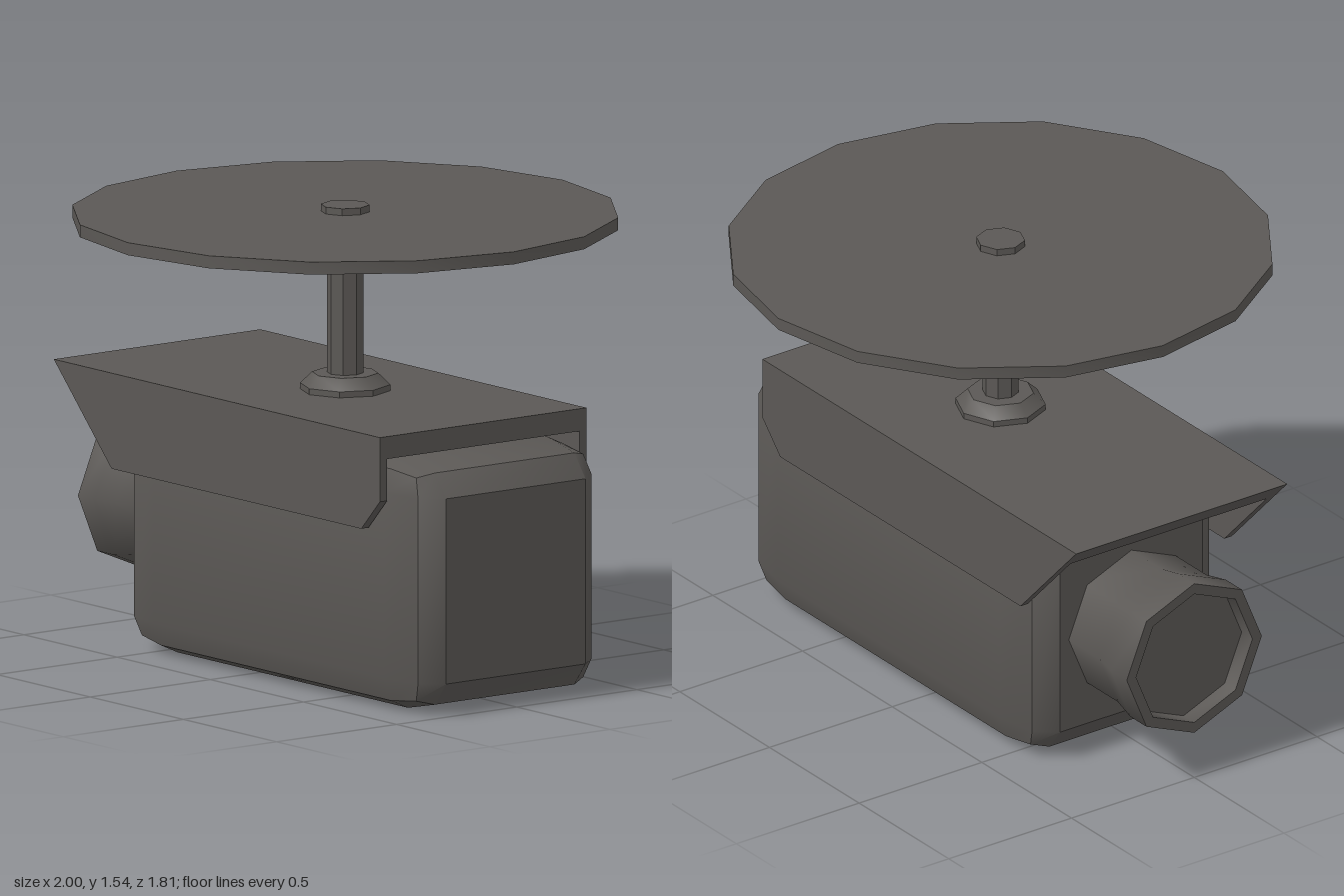
import * as THREE from 'three';
import { toCreasedNormals } from 'three/addons/utils/BufferGeometryUtils.js';
import { RoundedBoxGeometry } from 'three/addons/geometries/RoundedBoxGeometry.js';

const darkGrey = new THREE.MeshStandardMaterial({ color: 0x5b5855 });
darkGrey.name = 'dark grey';

const MOUNT_X = 0.08; // axis of the pole and ceiling plate

export function createModel() {
  const model = new THREE.Group();
  model.name = 'securityCamera';

  const add = (name, geometry, crease = 0.6) => {
    const mesh = new THREE.Mesh(toCreasedNormals(geometry, crease), darkGrey);
    mesh.name = name;
    model.add(mesh);
    return mesh;
  };

  // turned part: profile of [radius, height], bottom to top
  const turned = (profile, sides) =>
    new THREE.LatheGeometry(profile.map(([r, y]) => new THREE.Vector2(r, y)), sides);

  // side outline extruded across z, from z0 to z0 + depth
  const slab = (outline, z0, depth) =>
    new THREE.ExtrudeGeometry(
      new THREE.Shape(outline.map(([x, y]) => new THREE.Vector2(x, y))),
      { depth, bevelEnabled: false }
    ).translate(0, 0, z0);

  // housing: bevelled box whose bevel is stretched along x
  const bevel = [0.205, 0.11, 0.1];
  const size = [1.645, 0.84, 0.78];
  const units = size.map((s, i) => s / bevel[i]);
  add('housing', new RoundedBoxGeometry(...units, 1, 1)
    .scale(...bevel)
    .translate(0.173, 0.42, 0));

  // lens barrel with a recessed front
  add('lensBarrel', turned([
    [0.255, 0.6], [0.255, 0.82], [0.275, 0.91], [0.275, 1],
    [0.237, 1], [0.237, 0.94], [0, 0.94]
  ], 8).rotateZ(Math.PI / 2).translate(0, 0.44, 0), 0.9);

  // sun hood: roof and two side flaps
  add('hoodRoof', slab([[-0.93, 0.925], [-0.857, 0.85], [0.82, 0.85], [0.82, 0.925]], -0.43, 0.86));
  const flap = [[-0.857, 0.85], [-0.62, 0.605], [0.72, 0.605], [0.82, 0.71], [0.82, 0.85]];
  add('hoodFlapLeft', slab(flap, 0.4, 0.03));
  add('hoodFlapRight', slab(flap, -0.43, 0.03));

  // ceiling mount
  const mount = [
    ['poleFlange', [[0.15, 0.92], [0.15, 0.945], [0.11, 0.983], [0, 0.983]], 8],
    ['pole', [[0.06, 0.97], [0.06, 1.45]], 8],
    ['poleCollar', [[0, 1.445], [0.081, 1.445], [0.081, 1.545], [0, 1.545]], 8],
    ['ceilingPlate', [[0, 1.48], [0.905, 1.48], [0.905, 1.522], [0, 1.522]], 16]
  ];
  for (const [name, profile, sides] of mount) {
    add(name, turned(profile, sides).translate(MOUNT_X, 0, 0));
  }

  return model;
}
